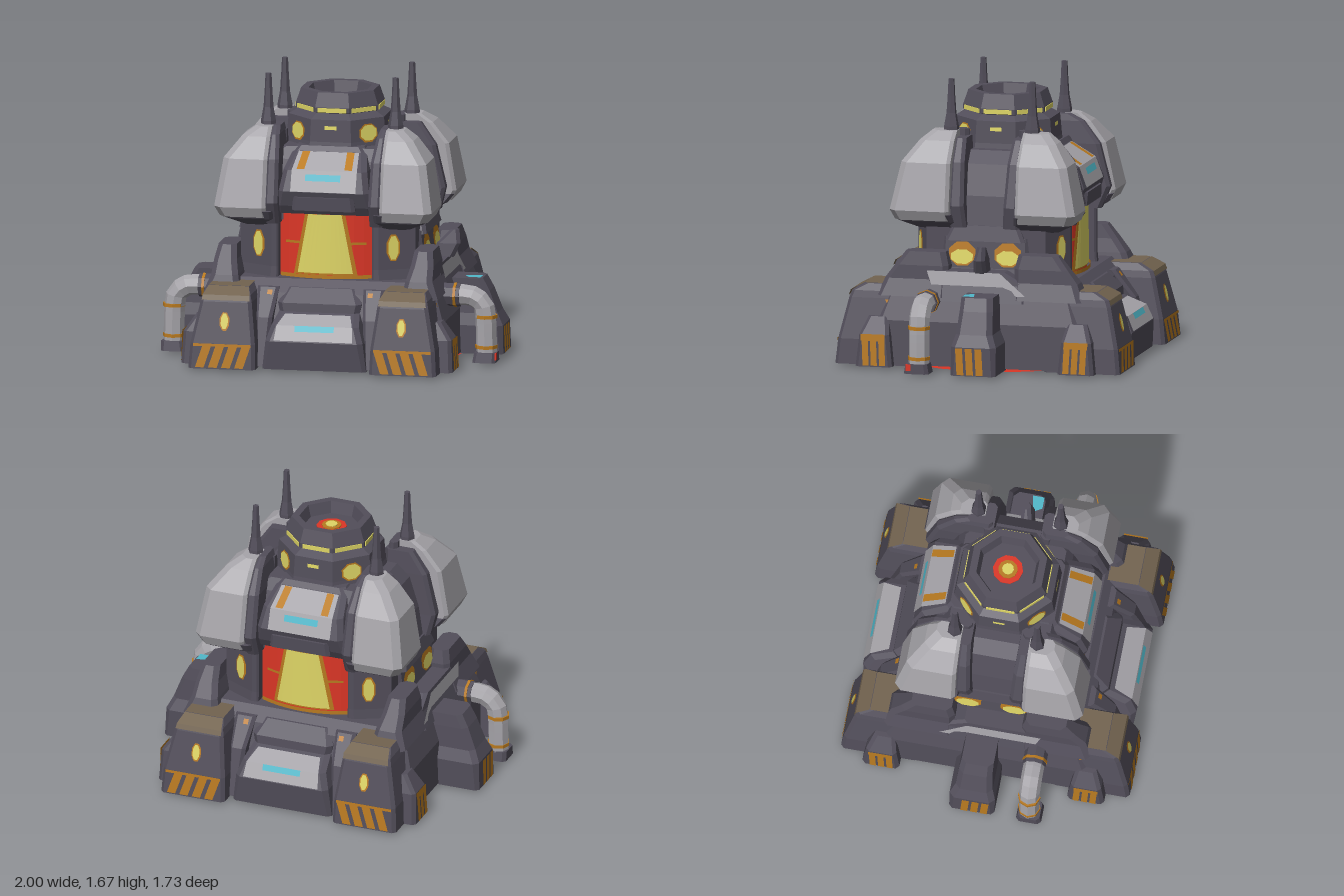
import * as THREE from 'three';

const mat = (name, color, side = THREE.FrontSide) =>
  new THREE.MeshStandardMaterial({ name, color, side, flatShading: true });

// Eight-point chamfered rectangle; c is one chamfer, or one per corner, or [x, z] pairs
function section([y, x0, x1, z0, z1, c = 0.02]) {
  const [a, b, d, e] = (Array.isArray(c) ? c : [c, c, c, c]).map(v => (Array.isArray(v) ? v : [v, v]));
  return [[x1 - a[0], z1], [x1, z1 - a[1]], [x1, z0 + b[1]], [x1 - b[0], z0],
    [x0 + d[0], z0], [x0, z0 + d[1]], [x0, z1 - e[1]], [x0 + e[0], z1]].map(([x, z]) => [x, y, z]);
}

// Closed solid through a stack of sections, bottom to top
function loft(rings) {
  const s = rings.map(section), v = [];
  const fan = (r, up) => {
    for (let i = 1; i < 7; i++) v.push(...r[0], ...(up ? r[i] : r[i + 1]), ...(up ? r[i + 1] : r[i]));
  };
  for (let k = 0; k + 1 < s.length; k++)
    for (let i = 0; i < 8; i++) {
      const j = (i + 1) % 8, a = s[k][i], b = s[k][j], c = s[k + 1][j], d = s[k + 1][i];
      v.push(...a, ...b, ...c, ...a, ...c, ...d);
    }
  fan(s[0], false);
  fan(s[s.length - 1], true);
  const g = new THREE.BufferGeometry();
  g.setAttribute('position', new THREE.Float32BufferAttribute(v, 3));
  return g;
}

// Flat geometry laid on a surface function of (u, v)
function lay(g, surf) {
  const p = g.attributes.position;
  for (let i = 0; i < p.count; i++) p.setXYZ(i, ...surf(p.getX(i), p.getY(i)));
  return g;
}
// Painted patch between four (u, v) corners
const sheet = (surf, [bl, br, tr, tl], n = 1) => lay(new THREE.PlaneGeometry(1, 1, n, 1), (x, y) => {
  const s = x + 0.5, t = y + 0.5;
  const m = k => (bl[k] * (1 - s) + br[k] * s) * (1 - t) + (tl[k] * (1 - s) + tr[k] * s) * t;
  return surf(m(0), m(1));
});
// Painted octagon
const octagon = (surf, u, v, ru, rv) => lay(new THREE.CircleGeometry(1.08, 8, Math.PI / 8), (x, y) => surf(u + x * ru, v + y * rv));
const rect = (u0, u1, v0, v1) => [[u0, v0], [u1, v0], [u1, v1], [u0, v1]];
// Front-facing plane through (ya, za) and (yb, zb), lifted by d
const incline = (ya, za, yb, zb, d) => (x, y) => [x, y + d * 0.5, za + (zb - za) * (y - ya) / (yb - ya) + d];

// Scaled copy with the triangle order kept outward
function mirrored(geo, sx, sz) {
  const g = geo.index ? geo.toNonIndexed() : geo.clone();
  g.scale(sx, 1, sz);
  if (sx * sz < 0) {
    const a = g.attributes.position.array;
    for (let i = 0; i < a.length; i += 9)
      for (let k = 3; k < 6; k++) [a[i + k], a[i + k + 3]] = [a[i + k + 3], a[i + k]];
  }
  g.computeVertexNormals();
  return g;
}

export function createModel() {
  const root = new THREE.Group();
  root.name = 'reactorFortress';
  const D = THREE.DoubleSide;
  const dark = mat('darkMetal', 0x524e5a), grey = mat('lightArmor', 0xa7a5aa, D);
  const yellow = mat('yellowLight', 0xdfd666, D), red = mat('redGlow', 0xdc3626, D);
  const orange = mat('orangePaint', 0xb97a20, D), cyan = mat('cyanLight', 0x50b8ca, D);
  const brown = mat('brownPlate', 0x72634f, D);

  // axes: which of x and z the part is mirrored across
  const add = (name, geo, m, axes = '') => {
    for (const sx of axes.includes('x') ? [1, -1] : [1])
      for (const sz of axes.includes('z') ? [1, -1] : [1]) {
        const mesh = new THREE.Mesh(mirrored(geo, sx, sz), m);
        mesh.name = name;
        root.add(mesh);
      }
  };
  const block = (name, rings, m, axes) => add(name, loft(rings), m, axes);
  // Octagonal lamp with an orange rim; surf(d) is the wall lifted by d
  const lamp = (name, surf, u, v, ru, rv, turn = 0, axes = 'xz') => {
    add(name + 'Rim', octagon(surf(0.004), u, v, ru + 0.008, rv + 0.009).rotateY(turn), orange, axes);
    add(name, octagon(surf(0.008), u, v, ru, rv).rotateY(turn), yellow, axes);
  };

  // Base body and underside
  block('base', [[0.02, -0.74, 0.74, -0.64, 0.64, 0.05], [0.28, -0.73, 0.73, -0.63, 0.63, 0.05],
    [0.43, -0.68, 0.68, -0.58, 0.58, 0.05], [0.5, -0.62, 0.62, -0.5, 0.5, 0.06]], dark);
  add('underside', new THREE.CircleGeometry(0.74, 20).rotateX(Math.PI / 2), red);

  // Corner feet with brown tops, hazard stripes and lamps
  block('foot', [[0.012, 0.34, 0.74, 0.4, 0.86], [0.16, 0.345, 0.73, 0.4, 0.845], [0.4, 0.375, 0.68, 0.42, 0.79],
    [0.44, 0.385, 0.67, 0.45, 0.775], [0.48, 0.41, 0.645, 0.48, 0.7]], dark, 'xz');
  add('footTopPlate', sheet((x, z) => [x, 0.484, z], rect(0.405, 0.645, 0.49, 0.702)), brown, 'xz');
  add('footTopSlope', sheet(incline(0.44, 0.775, 0.48, 0.7, 0.005), [[0.385, 0.438], [0.665, 0.438], [0.645, 0.48], [0.405, 0.48]]), brown, 'xz');
  add('footTopEdge', sheet(incline(0.4, 0.79, 0.44, 0.775, 0.005), [[0.385, 0.408], [0.67, 0.408], [0.665, 0.44], [0.385, 0.44]]), brown, 'xz');
  const footLow = incline(0.012, 0.86, 0.16, 0.845, 0.005);
  for (let i = 0; i < 4; i++) {
    const u = 0.41 + i * 0.078;
    add('hazardStripe', sheet(footLow, [[u, 0.018], [u + 0.052, 0.018], [u + 0.01, 0.145], [u - 0.042, 0.145]]), orange, 'xz');
  }
  add('hazardEdge', sheet(footLow, rect(0.365, 0.71, 0.142, 0.158)), orange, 'xz');
  lamp('footLamp', d => incline(0.16, 0.845, 0.4, 0.79, d), 0.528, 0.288, 0.021, 0.044);
  const footSide = (z, y) => [0.769 - y * 0.208, y, z];
  add('footSideMark', sheet(footSide, [[0.5, 0.33], [0.53, 0.33], [0.57, 0.395], [0.46, 0.395]]), orange, 'x');

  // Outer fins of the feet
  block('footFin', [[0.012, 0.7, 0.81, 0.5, 0.72], [0.2, 0.7, 0.8, 0.52, 0.7], [0.3, 0.68, 0.73, 0.54, 0.66]], dark, 'xz');
  const finSide = (z, y) => [0.817 - 0.05 * y, y, z];
  for (let i = 0; i < 3; i++) {
    const u = 0.535 + i * 0.05;
    add('finStripe', sheet(finSide, [[u, 0.02], [u + 0.037, 0.02], [u + 0.045, 0.19], [u + 0.008, 0.19]]), orange, 'xz');
  }
  add('finEdge', sheet(finSide, rect(0.54, 0.685, 0.165, 0.205)), orange, 'xz');

  // Lower blocks with bent panels, front and back
  block('lowerBlock', [[0.012, -0.31, 0.31, 0.3, 0.8], [0.18, -0.29, 0.29, 0.3, 0.815, 0.03], [0.27, -0.26, 0.26, 0.3, 0.775, 0.03],
    [0.33, -0.24, 0.24, 0.3, 0.645, 0.03], [0.38, -0.25, 0.25, 0.3, 0.64, 0.03], [0.46, -0.21, 0.21, 0.3, 0.56, 0.03]], dark, 'z');
  const lowFace = d => incline(0.18, 0.815, 0.27, 0.775, d);
  add('lowerPanel', sheet(lowFace(0.006), [[-0.235, 0.185], [0.235, 0.185], [0.225, 0.27], [-0.225, 0.27]]), grey, 'z');
  add('lowerPanelTop', sheet(incline(0.27, 0.775, 0.33, 0.645, 0.006), [[-0.225, 0.27], [0.225, 0.27], [0.195, 0.32], [-0.195, 0.32]]), grey, 'z');
  add('lowerPanelLight', sheet(lowFace(0.011), rect(-0.115, 0.12, 0.236, 0.269)), cyan, 'z');
  block('buttress', [[0.02, 0.29, 0.36, 0.4, 0.77], [0.3, 0.27, 0.37, 0.4, 0.7], [0.46, 0.25, 0.38, 0.4, 0.58]], dark, 'xz');
  add('buttressMark', sheet(incline(0.3, 0.7, 0.46, 0.58, 0.005), rect(0.285, 0.315, 0.42, 0.445)), orange, 'xz');

  // Core, corner pillars and shoulders
  block('core', [[0.4, -0.51, 0.51, -0.28, 0.28], [0.9, -0.51, 0.51, -0.28, 0.28]], dark);
  const pc = [[0.2, 0.1], 0.01, 0.01, 0.01];
  block('pillar', [[0.42, 0.28, 0.53, 0.2, 0.47, pc], [0.56, 0.28, 0.52, 0.2, 0.46, pc], [0.86, 0.28, 0.52, 0.2, 0.46, pc]], dark, 'xz');
  lamp('pillarLamp', d => (x, y) => [x + d * 0.45, y, 0.62 - x / 2 + d], 0.4, 0.69, 0.028, 0.07);
  block('shoulder', [[0.42, 0.48, 0.7, 0.2, 0.62, 0.03], [0.52, 0.5, 0.66, 0.2, 0.58, 0.03],
    [0.6, 0.52, 0.655, 0.2, 0.52, 0.03], [0.68, 0.53, 0.64, 0.22, 0.46, 0.03]], dark, 'xz');

  // Curved glowing windows, front and back
  const curve = r => (x, y) => [x, y, Math.sqrt(r * r - x * x) - 0.14];
  add('windowGlow', sheet(curve(0.6), rect(-0.28, 0.28, 0.5, 0.9), 10), red, 'z');
  add('windowRim', sheet(curve(0.605), [[-0.19, 0.52], [0.19, 0.52], [0.12, 0.88], [-0.12, 0.88]], 10), orange, 'z');
  add('windowCenter', sheet(curve(0.61), [[-0.165, 0.53], [0.165, 0.53], [0.1, 0.88], [-0.1, 0.88]], 10), yellow, 'z');
  add('windowBar', sheet(curve(0.607), rect(-0.24, 0.24, 0.7, 0.715), 10), orange, 'z');
  add('windowSill', sheet(curve(0.62), rect(-0.27, 0.27, 0.495, 0.522), 10), orange, 'z');

  // Upper body with bent panels above the windows
  block('upperBody', [[0.83, -0.53, 0.53, -0.4, 0.4, 0.08], [1.0, -0.5, 0.5, -0.4, 0.4, 0.08],
    [1.18, -0.44, 0.44, -0.34, 0.34, 0.08], [1.25, -0.36, 0.36, -0.3, 0.3, 0.1]], dark);
  block('upperBlock', [[0.88, -0.28, 0.28, 0.2, 0.46], [0.93, -0.28, 0.28, 0.2, 0.49], [1.02, -0.27, 0.27, 0.2, 0.52, 0.03],
    [1.14, -0.25, 0.25, 0.2, 0.475, 0.03], [1.23, -0.22, 0.22, 0.2, 0.33, 0.03], [1.26, -0.2, 0.2, 0.2, 0.31, 0.03]], dark, 'z');
  const browFace = d => incline(1.02, 0.52, 1.14, 0.475, d), browTop = d => incline(1.14, 0.475, 1.23, 0.33, d);
  add('upperPanel', sheet(browFace(0.006), [[-0.195, 1.02], [0.195, 1.02], [0.195, 1.14], [-0.195, 1.14]]), grey, 'z');
  add('upperPanelTop', sheet(browTop(0.006), [[-0.195, 1.14], [0.195, 1.14], [0.18, 1.228], [-0.18, 1.228]]), grey, 'z');
  add('upperPanelTrim', sheet(browTop(0.011), [[0.12, 1.145], [0.165, 1.145], [0.155, 1.227], [0.11, 1.227]]), orange, 'xz');
  add('upperPanelLight', sheet(browFace(0.011), rect(-0.11, 0.1, 1.08, 1.117)), cyan, 'z');
  block('panelLip', [[0.91, -0.19, 0.19, 0.45, 0.52], [0.99, -0.18, 0.18, 0.45, 0.525]], dark, 'z');

  // Armor pods on the corners
  const oc = [0.04, 0.02, 0.01, 0.02];
  block('podBottom', [[0.8, 0.32, 0.5, 0.18, 0.43, 0.03], [0.85, 0.3, 0.6, 0.18, 0.52, oc], [0.9, 0.3, 0.64, 0.19, 0.55, oc]], dark, 'xz');
  block('armorPod', [[0.86, 0.34, 0.62, 0.2, 0.535, oc], [0.92, 0.34, 0.65, 0.2, 0.56, oc], [1.2, 0.34, 0.605, 0.2, 0.5, oc],
    [1.32, 0.34, 0.51, 0.2, 0.41, oc], [1.37, 0.34, 0.44, 0.2, 0.35, oc]], grey, 'xz');
  block('podInnerFrame', [[0.82, 0.27, 0.35, 0.15, 0.49], [0.95, 0.27, 0.35, 0.15, 0.545], [1.2, 0.275, 0.35, 0.15, 0.48],
    [1.33, 0.29, 0.35, 0.15, 0.38], [1.37, 0.3, 0.35, 0.15, 0.3]], dark, 'xz');
  block('podSideFrame', [[0.82, 0.28, 0.57, 0.11, 0.21], [0.95, 0.28, 0.6, 0.12, 0.21], [1.2, 0.28, 0.54, 0.13, 0.21],
    [1.33, 0.28, 0.45, 0.14, 0.21]], dark, 'xz');

  // Antennas
  const lathe = (pts, n) => new THREE.LatheGeometry(pts.map(p => new THREE.Vector2(...p)), n, Math.PI / n);
  add('antenna', lathe([[0, 1.28], [0.05, 1.28], [0.045, 1.39], [0.03, 1.47], [0.023, 1.57], [0.018, 1.67], [0, 1.67]], 6)
    .translate(0.38, 0, 0.245), dark, 'xz');

  // Octagonal turret with a hollow crown
  add('turret', lathe([[0.34, 1.18], [0.32, 1.28], [0.308, 1.41], [0.25, 1.44], [0.265, 1.445], [0.265, 1.475], [0.235, 1.56],
    [0.19, 1.56], [0.17, 1.49], [0, 1.49]], 8), dark);
  [[0.09, red], [0.058, orange], [0.035, yellow]].forEach(([r, m], i) =>
    add('crownGlow', new THREE.CylinderGeometry(r, r, 0.008, 10).translate(0, 1.492 + i * 0.006, 0), m));
  const wall = incline(1.28, 0.2956, 1.41, 0.2846, 0.005);
  for (let i = 0; i < 8; i++) {
    const a = i * Math.PI / 4;
    add('crownLight', new THREE.BoxGeometry(0.17, 0.026, 0.008).translate(0, 1.459, 0.246).rotateY(a), yellow);
    if (i % 2) lamp('turretLamp', d => incline(1.28, 0.2956, 1.41, 0.2846, d), 0, 1.325, 0.055, 0.045, a, '');
    else add('turretSlit', sheet(wall, rect(-0.035, 0.035, 1.35, 1.372)).rotateY(a), yellow);
  }

  // Flank windows under a brow
  block('flankWall', [[0.45, 0.45, 0.58, -0.26, 0.26], [0.58, 0.45, 0.55, -0.26, 0.26], [0.76, 0.45, 0.53, -0.26, 0.26]], dark, 'x');
  const flank = d => (z, y) => [0.55 - (y - 0.58) * 0.11 + d, y, z];
  add('flankWindowRim', octagon(flank(0.005), 0.138, 0.662, 0.08, 0.07), orange, 'xz');
  add('flankWindow', octagon(flank(0.01), 0.138, 0.645, 0.066, 0.042), yellow, 'xz');
  block('flankBrow', [[0.74, 0.45, 0.56, -0.24, 0.24], [0.83, 0.45, 0.54, -0.2, 0.2]], dark, 'x');

  // Flank machine blocks with hazard faces
  block('machineBlock', [[0.012, 0.7, 0.99, -0.17, 0.1], [0.18, 0.7, 0.985, -0.17, 0.1, 0.03], [0.25, 0.7, 0.95, -0.14, 0.08, 0.03],
    [0.38, 0.66, 0.9, -0.13, 0.07, 0.03], [0.455, 0.64, 0.86, -0.12, 0.07, 0.03]], dark, 'x');
  for (let i = 0; i < 3; i++) {
    const u = -0.1 + i * 0.058;
    add('machineStripe', sheet((z, y) => [0.996 - 0.03 * y, y, z],
      [[u, 0.018], [u + 0.042, 0.018], [u + 0.052, 0.175], [u + 0.01, 0.175]]), orange, 'x');
  }
  add('machineLight', sheet((x, z) => [x, 0.461, z], [[0.75, 0.01], [0.85, -0.01], [0.85, 0.06], [0.78, 0.06]]), cyan);
  block('flankShelf', [[0.4, 0.5, 0.7, -0.28, 0.33], [0.5, 0.5, 0.665, -0.28, 0.33], [0.575, 0.5, 0.655, -0.14, 0.32]], dark, 'x');
  block('flankMachinery', [[0.57, 0.55, 0.68, -0.04, 0.04], [0.65, 0.58, 0.72, -0.04, 0.03], [0.73, 0.66, 0.71, -0.04, 0.01]], dark);

  // Pale conduit strip along each flank
  const strip = (z, y) => [0.692 - (y - 0.45) * 0.15, y, z];
  add('conduit', sheet(strip, [[-0.14, 0.495], [0.29, 0.495], [0.32, 0.575], [-0.12, 0.575]]), grey, 'x');
  add('conduitEnd', sheet(strip, [[-0.28, 0.445], [-0.22, 0.445], [-0.12, 0.575], [-0.14, 0.495]]), grey, 'x');

  // Elbow pipes
  const path = [[0.66, 0.4], [0.84, 0.4], [0.915, 0.35], [0.93, 0.25], [0.935, 0.05]].map(([x, y]) => new THREE.Vector3(x, y, 0.3));
  add('elbowPipe', new THREE.TubeGeometry(new THREE.CatmullRomCurve3(path, false, 'catmullrom', 0.3), 12, 0.062, 8), grey, 'x');
  for (const y of [0.1, 0.28])
    add('pipeBand', new THREE.CylinderGeometry(0.067, 0.067, 0.02, 8).translate(0.933, y, 0.3), orange, 'x');
  const ring = (r, w, x) => new THREE.CylinderGeometry(r, r, w, 8).rotateZ(Math.PI / 2).translate(x, 0.4, 0.3);
  add('pipeSocket', ring(0.069, 0.13, 0.715), dark, 'x');
  add('pipeCollar', ring(0.073, 0.016, 0.75), orange, 'x');
  block('pipeFoot', [[0.012, 0.86, 1, 0.23, 0.38], [0.07, 0.87, 1, 0.24, 0.37]], dark, 'x');
  add('pipeFootMark', new THREE.BoxGeometry(0.008, 0.04, 0.03).translate(0.998, 0.05, 0.35), red);
  return root;
}
